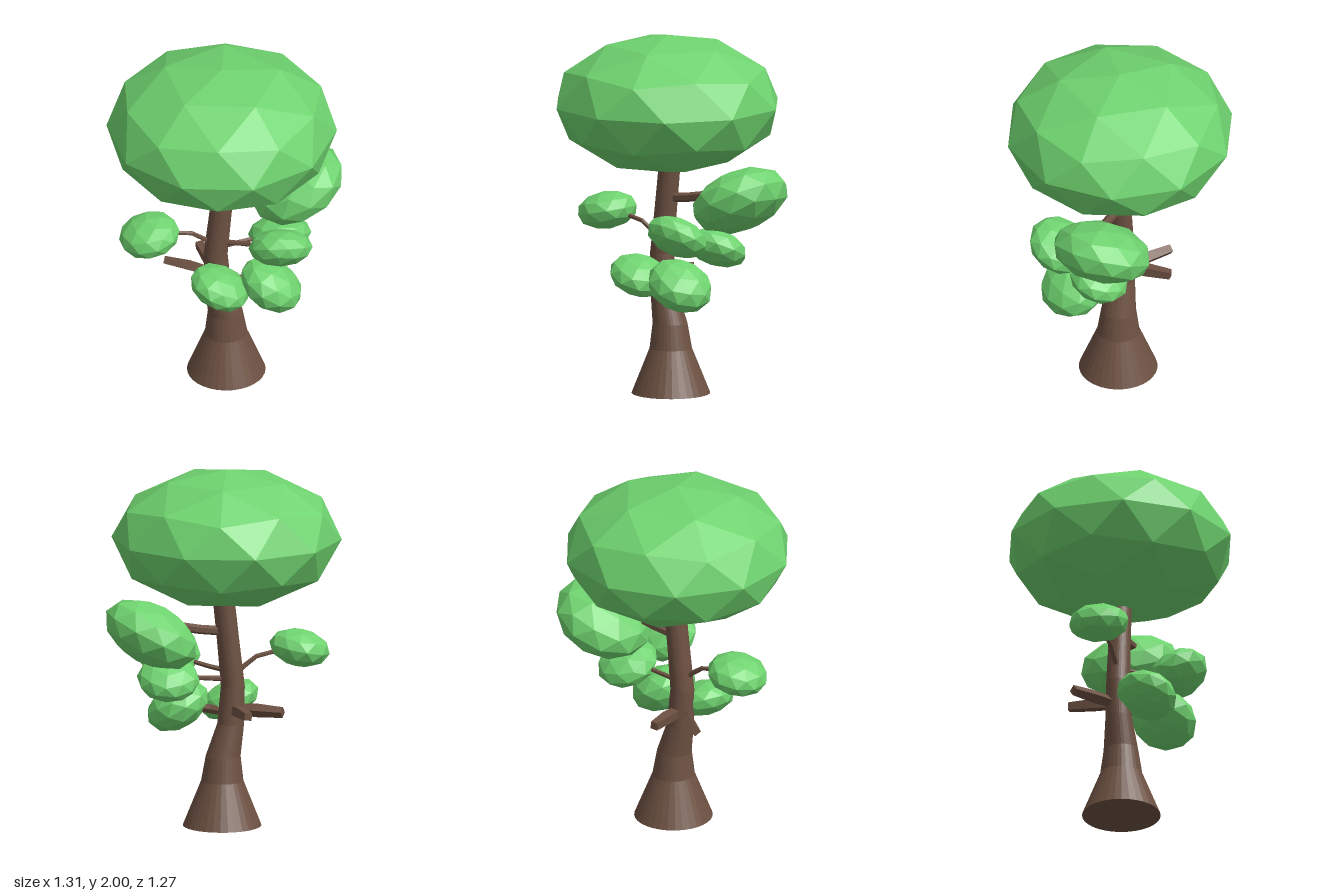
import * as THREE from 'three';

const leafMat = new THREE.MeshStandardMaterial({ color: 0x6fd36f, flatShading: true });
const barkMat = new THREE.MeshStandardMaterial({ color: 0x6d5142, flatShading: true });

// Capped loft through [x, y, z, radius] stations; rings face along the path, or straight up if level
function loft(name, stations, sides, level = false) {
  const centres = stations.map(s => new THREE.Vector3(s[0], s[1], s[2]));
  const pos = [], index = [], n = stations.length;
  const up = new THREE.Vector3(0, 1, 0);
  centres.forEach((c, i) => {
    const dir = centres[Math.min(i + 1, n - 1)].clone().sub(centres[Math.max(i - 1, 0)]).normalize();
    const q = new THREE.Quaternion();
    if (!level) q.setFromUnitVectors(up, dir);
    for (let k = 0; k < sides; k++) {
      const a = (k + 0.5) / sides * Math.PI * 2;
      const p = new THREE.Vector3(Math.sin(a), 0, Math.cos(a)).multiplyScalar(stations[i][3]);
      pos.push(...p.applyQuaternion(q).add(c).toArray());
    }
  });
  for (let i = 0; i < n - 1; i++) {
    for (let k = 0; k < sides; k++) {
      const a = i * sides + k, b = i * sides + (k + 1) % sides;
      index.push(a, b, b + sides, a, b + sides, a + sides);
    }
  }
  // end caps
  const last = (n - 1) * sides;
  for (let k = 1; k < sides - 1; k++) {
    index.push(0, k + 1, k, last, last + k, last + k + 1);
  }
  const geo = new THREE.BufferGeometry();
  geo.setAttribute('position', new THREE.Float32BufferAttribute(pos, 3));
  geo.setIndex(index);
  geo.computeVertexNormals();
  const mesh = new THREE.Mesh(geo, barkMat);
  mesh.name = name;
  return mesh;
}

// Flattened faceted ball with one corner pointing up, then tilted
function foliage(name, [x, y, z], radius, height, [rx, ry, rz] = [0, 0, 0]) {
  const geo = new THREE.IcosahedronGeometry(1, 1);
  geo.rotateZ(-Math.atan2(2, 1 + Math.sqrt(5)));
  geo.scale(radius, height, radius);
  geo.computeVertexNormals();
  const mesh = new THREE.Mesh(geo, leafMat);
  mesh.name = name;
  mesh.position.set(x, y, z);
  mesh.rotation.set(...[rx, ry, rz].map(THREE.MathUtils.degToRad));
  return mesh;
}

export function createModel() {
  const tree = new THREE.Group();
  tree.name = 'tree';

  // trunk: flared foot, slight S-bend
  tree.add(loft('trunk', [
    [-0.024, 0, 0, 0.217],
    [-0.025, 0.25, 0, 0.117],
    [-0.03, 0.39, 0, 0.096],
    [-0.073, 0.57, 0, 0.074],
    [-0.085, 0.78, 0, 0.066],
    [-0.06, 1.02, 0, 0.062],
    [-0.03, 1.3, 0, 0.06],
  ], 32, true));

  // branches that carry foliage
  const branches = {
    leftUpperBranch: [[-0.05, 1.09, 0, 0.027], [0.1, 1.107, 0, 0.026], [0.25, 1.135, 0, 0.026]],
    rightBranch: [[-0.1, 0.85, 0, 0.016], [-0.15, 0.89, 0, 0.014], [-0.22, 0.94, 0, 0.013], [-0.36, 0.97, 0, 0.012]],
    leftFrontBranch: [[-0.08, 0.86, 0, 0.016], [0.03, 0.88, 0.08, 0.014], [0.16, 0.91, 0.2, 0.012]],
    leftMiddleBranch: [[-0.08, 0.82, 0, 0.016], [0.05, 0.83, 0, 0.014], [0.2, 0.845, 0, 0.012]],
    leftLowerBranch: [[-0.08, 0.63, 0, 0.03], [0.02, 0.64, 0.08, 0.028], [0.12, 0.65, 0.14, 0.024]],
    rightLowerBranch: [[-0.08, 0.65, 0, 0.03], [-0.1, 0.66, 0.1, 0.026]],
  };
  for (const [name, stations] of Object.entries(branches)) tree.add(loft(name, stations, 6));

  // bare stubs at the back
  tree.add(loft('backStub', [[-0.08, 0.65, 0, 0.03], [-0.09, 0.66, -0.15, 0.038], [-0.1, 0.66, -0.28, 0.03]], 4));
  tree.add(loft('backRightStub', [[-0.08, 0.65, 0, 0.03], [-0.2, 0.655, -0.1, 0.038], [-0.32, 0.655, -0.19, 0.03]], 4));

  // crown and smaller leaf clumps
  tree.add(
    foliage('crown', [-0.05, 1.615, 0], 0.636, 0.385),
    foliage('leftUpperClump', [0.4, 1.11, -0.075], 0.28, 0.168, [-3, 0, 28]),
    foliage('rightClump', [-0.465, 0.975, 0], 0.17, 0.105, [0, 0, 12]),
    foliage('leftFrontClump', [0.215, 0.932, 0.255], 0.178, 0.105, [-30, 0, -6]),
    foliage('leftMiddleClump', [0.285, 0.842, -0.01], 0.175, 0.1, [-25, 0, -4]),
    foliage('leftLowerClump', [0.18, 0.645, 0.185], 0.187, 0.125, [8, 0, -30]),
    foliage('rightLowerClump', [-0.11, 0.67, 0.17], 0.172, 0.1, [8, 0, -22]),
  );
  return tree;
}
